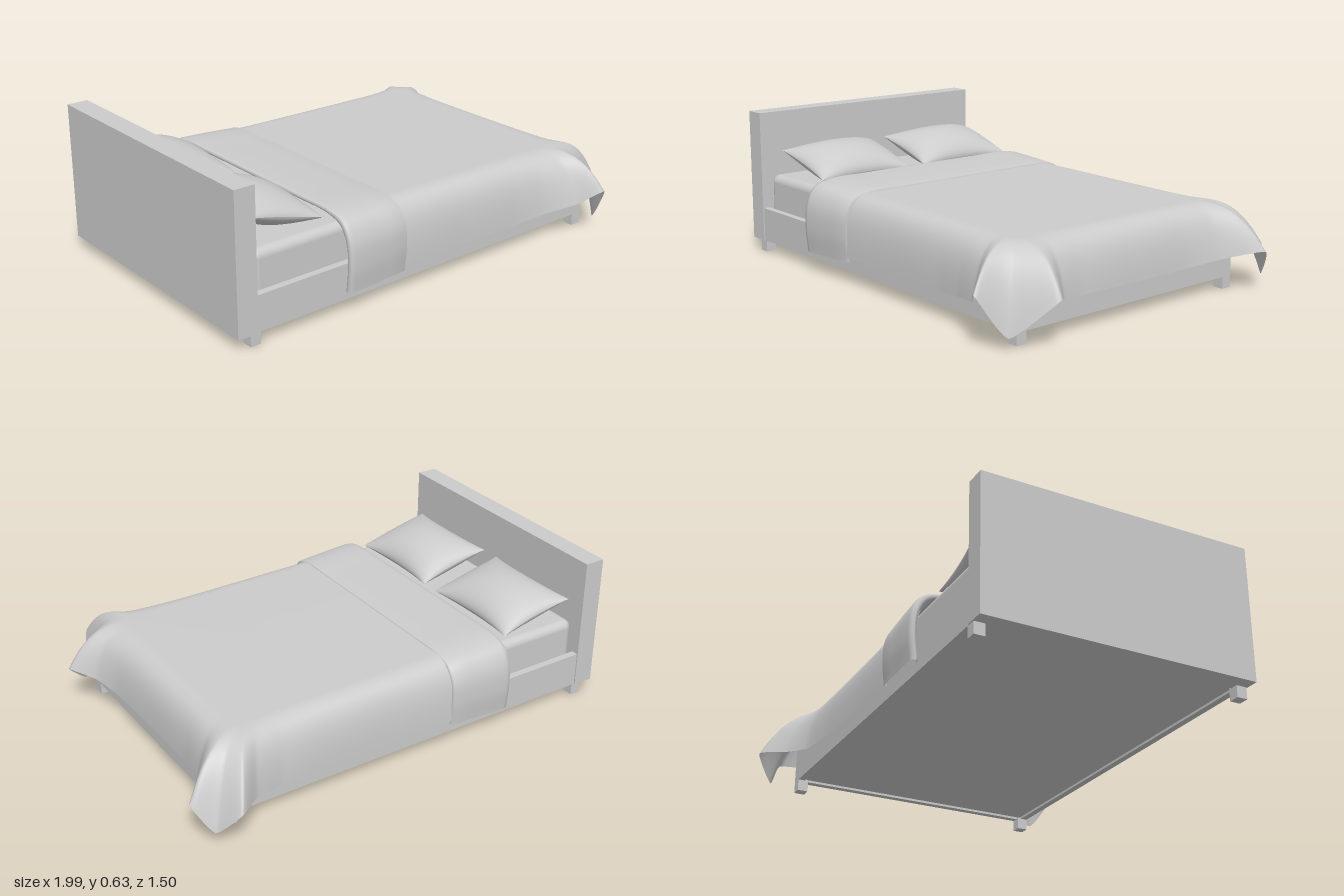
import * as THREE from 'three';
import { RoundedBoxGeometry } from 'three/addons/geometries/RoundedBoxGeometry.js';

const grey = new THREE.MeshStandardMaterial({ color: 0xcccccc });
const cloth = new THREE.MeshStandardMaterial({ color: 0xcccccc, side: THREE.DoubleSide });

// Smooth grid surface: fn(u, v) gives a point for u, v in 0..1
function surface(nu, nv, fn) {
  const pos = [], index = [];
  for (let i = 0; i <= nu; i++) {
    for (let j = 0; j <= nv; j++) pos.push(...fn(i / nu, j / nv).toArray());
  }
  for (let i = 0; i < nu; i++) {
    for (let j = 0; j < nv; j++) {
      const a = i * (nv + 1) + j, b = a + nv + 1;
      index.push(a, a + 1, b, b, a + 1, b + 1);
    }
  }
  const g = new THREE.BufferGeometry();
  g.setAttribute('position', new THREE.Float32BufferAttribute(pos, 3));
  g.setIndex(index);
  g.computeVertexNormals();
  return g;
}

function add(parent, name, geometry, material = grey) {
  const m = new THREE.Mesh(geometry, material);
  m.name = name;
  parent.add(m);
  return m;
}

// Box given by its min and max on each axis
function box(parent, name, x0, x1, y0, y1, z0, z1) {
  const m = add(parent, name, new THREE.BoxGeometry(x1 - x0, y1 - y0, z1 - z0));
  m.position.set((x0 + x1) / 2, (y0 + y1) / 2, (z0 + z1) / 2);
  return m;
}

const topY = x => 0.376 - 0.011 * (x + 0.2);

// Blanket: each station joins a point on the top edge (ex, ez) to a hem point (hx, hy, hz)
const stations = [
  [-0.49, 0.48, -0.49, 0.115, 0.605],
  [-0.2, 0.48, -0.2, 0.115, 0.605],
  [0.1, 0.48, 0.1, 0.115, 0.602],
  [0.4, 0.48, 0.4, 0.115, 0.608],
  [0.54, 0.48, 0.55, 0.13, 0.63],
  [0.63, 0.48, 0.7, 0.155, 0.685],
  [0.68, 0.49, 0.79, 0.21, 0.75],
  [0.71, 0.49, 0.85, 0.045, 0.64],
  [0.71, 0.47, 0.98, 0.19, 0.51],
  [0.71, 0.4, 0.9, 0.16, 0.42],
  [0.71, 0.27, 0.865, 0.143, 0.29],
  [0.71, 0, 0.85, 0.135, 0],
  [0.71, -0.25, 0.85, 0.135, -0.29],
  [0.71, -0.4, 0.885, 0.15, -0.47],
  [0.71, -0.47, 0.99, 0.178, -0.61],
  [0.71, -0.49, 0.92, 0.06, -0.67],
  [0.69, -0.49, 0.85, 0.165, -0.755],
  [0.63, -0.48, 0.74, 0.15, -0.67],
  [0.54, -0.48, 0.6, 0.125, -0.62],
  [0.4, -0.48, 0.4, 0.115, -0.605],
  [0.1, -0.48, 0.1, 0.115, -0.6],
  [-0.2, -0.48, -0.2, 0.115, -0.605],
  [-0.49, -0.48, -0.49, 0.115, -0.605],
];

function blanketGeometry() {
  const curve = pts => new THREE.CatmullRomCurve3(pts, false, 'catmullrom', 0.25);
  const edge = curve(stations.map(s => new THREE.Vector3(s[0], topY(s[0]), s[1])));
  const hem = curve(stations.map(s => new THREE.Vector3(s[2], s[3], s[4])));
  const drop = 14;
  return surface((stations.length - 1) * 6, drop + 1, (u, v) => {
    const e = edge.getPoint(u), h = hem.getPoint(u);
    const k = Math.round(v * (drop + 1)) - 1;
    if (k < 0) {
      const x = Math.min(e.x, 0.3); // spine of the flat top
      return new THREE.Vector3(x, topY(x), 0);
    }
    // leave the top level, then bend down to the hem
    const out = new THREE.Vector3(h.x - e.x, 0, h.z - e.z);
    const d = out.length();
    out.normalize();
    const c1 = e.clone().addScaledVector(out, 0.09 + 0.3 * Math.max(0, d - 0.125));
    const c2 = e.clone().addScaledVector(out, Math.min(d, 0.1 + 0.5 * Math.max(0, d - 0.1) + 0.012));
    c2.y = h.y + 0.75 * (e.y - h.y);
    return new THREE.CubicBezierCurve3(e, c1, c2, h).getPoint(k / drop);
  });
}

// Turned-down band of the blanket, rolled under at its head end
function foldGeometry() {
  const half = [[0.612, 0.09], [0.622, 0.2], [0.612, 0.3], [0.575, 0.362], [0.5, 0.387], [0.3, 0.39]];
  const pts = [...half, [0, 0.39], ...half.map(([z, y]) => [-z, y]).reverse()];
  const section = new THREE.CatmullRomCurve3(pts.map(([z, y]) => new THREE.Vector3(0, y, z)));
  // x, growth of the section
  const rows = [[-0.215, -0.016], [-0.217, -0.004], [-0.3, 0], [-0.4, 0.004], [-0.48, 0.006],
    [-0.5, 0.002], [-0.505, -0.008], [-0.5, -0.018], [-0.47, -0.024]];
  return surface(rows.length - 1, 72, (u, v) => {
    const [x, grow] = rows[Math.round(u * (rows.length - 1))];
    const p = section.getPoint(v);
    const lift = THREE.MathUtils.smoothstep(p.y, 0.2, 0.38);
    p.z *= 1 + grow * 1.8;
    p.y += lift * (grow * 0.8 - 0.02 * (x + 0.4)) + (1 - lift) * 0.03 * (x + 0.4);
    p.x = x;
    return p;
  });
}

// Pillow with drawn-in edges, pointed corners and an underside resting on the mattress
function pillowGeometry(zc, hz, skew) {
  const tilt = 0.25, n = 24;
  const point = (u, v, side) => {
    const x = 0.172 * u * (1 - 0.11 * (1 - v * v));
    const z = hz * v * (1 - 0.06 * (1 - u * u)) + skew * u;
    const puff = Math.pow(Math.max(0, (1 - u * u) * (1 - v * v)), 0.55);
    const y = side * 0.078 * puff;
    const wy = 0.42 + y * Math.cos(tilt) - x * Math.sin(tilt);
    return new THREE.Vector3(-0.705 + x * Math.cos(tilt) + y * Math.sin(tilt),
      Math.max(wy, 0.358), zc + z);
  };
  // cosine spacing keeps the seam rounded
  const s = t => -Math.cos(Math.PI * t);
  return [
    surface(n, n, (a, b) => point(s(b), s(a), 1)),
    surface(n, n, (a, b) => point(s(a), s(b), -1)),
  ];
}

export function createModel() {
  const bed = new THREE.Group();
  bed.name = 'bed';

  // Frame
  box(bed, 'headboard', -1, -0.91, 0.05, 0.635, -0.59, 0.59);
  for (const s of [1, -1]) {
    const side = s > 0 ? 'left' : 'right';
    box(bed, side + 'Rail', -0.91, 0.83, 0.05, 0.2, s * 0.57 - 0.015, s * 0.57 + 0.015);
    for (const [end, x] of [['Head', -0.92], ['Foot', 0.807]]) {
      box(bed, side + end + 'Leg', x - 0.023, x + 0.023, 0, 0.055, s * 0.562 - 0.023, s * 0.562 + 0.023);
    }
  }
  box(bed, 'footRail', 0.8, 0.83, 0.05, 0.2, -0.556, 0.556);
  box(bed, 'basePanel', -0.91, 0.8, 0.06, 0.1, -0.556, 0.556);

  // Mattress
  const mattress = add(bed, 'mattress', new RoundedBoxGeometry(1.68, 0.255, 1.1, 5, 0.035));
  mattress.position.set(-0.062, 0.2265, 0);

  // Bedding
  add(bed, 'blanket', blanketGeometry(), cloth);
  add(bed, 'blanketFold', foldGeometry(), cloth);
  for (const [name, zc, hz, skew] of [['leftPillow', 0.267, 0.238, 0.003], ['rightPillow', -0.293, 0.243, 0.006]]) {
    const pillow = new THREE.Group();
    pillow.name = name;
    const [upper, lower] = pillowGeometry(zc, hz, skew);
    add(pillow, name + 'Top', upper, cloth);
    add(pillow, name + 'Underside', lower, cloth);
    bed.add(pillow);
  }
  return bed;
}
